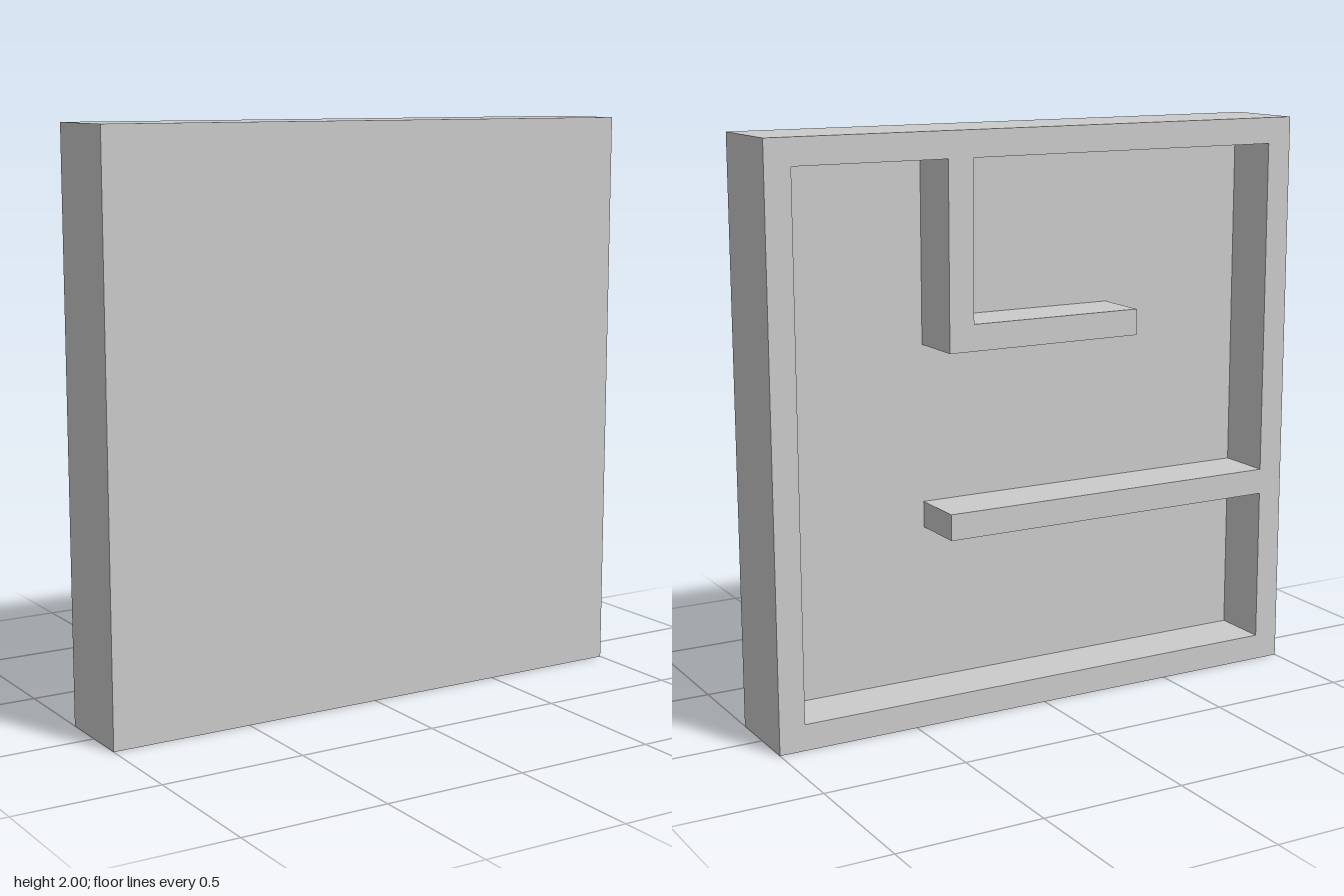
import * as THREE from 'three';

export function createModel() {
  const model = new THREE.Group();
  model.name = 'mazeTile';
  const material = new THREE.MeshStandardMaterial({ color: 0xcccccc, flatShading: true });

  const unit = 1 / 11;       // wall thickness; the tile is 22 units wide
  const depth = 0.304;       // whole tile
  const baseDepth = 0.101;   // solid front panel
  const back = -depth / 2;

  // Grid columns count from +x, rows count down from the top
  const toPoint = ([column, row]) => new THREE.Vector2(1 - column * unit, 2 - row * unit);

  // Solid front panel
  const panel = new THREE.Mesh(new THREE.BoxGeometry(2, 2, baseDepth), material);
  panel.name = 'frontPanel';
  panel.position.set(0, 1, depth / 2 - baseDepth / 2);
  model.add(panel);

  // Border and inner walls: a square with the open passage cut out
  const outline = new THREE.Shape([[0, 0], [22, 0], [22, 22], [0, 22]].map(toPoint));
  outline.holes.push(new THREE.Path([
    [1, 1], [7, 1], [7, 8], [15, 8], [15, 7], [8, 7], [8, 1], // L-shaped wall from the top
    [21, 1], [21, 14], [7, 14], [7, 15], [21, 15],            // straight wall from the side
    [21, 21], [1, 21],
  ].map(toPoint)));
  const walls = new THREE.Mesh(
    new THREE.ExtrudeGeometry(outline, { depth: depth - baseDepth, bevelEnabled: false }),
    material
  );
  walls.name = 'mazeWalls';
  walls.position.z = back;
  model.add(walls);

  return model;
}
